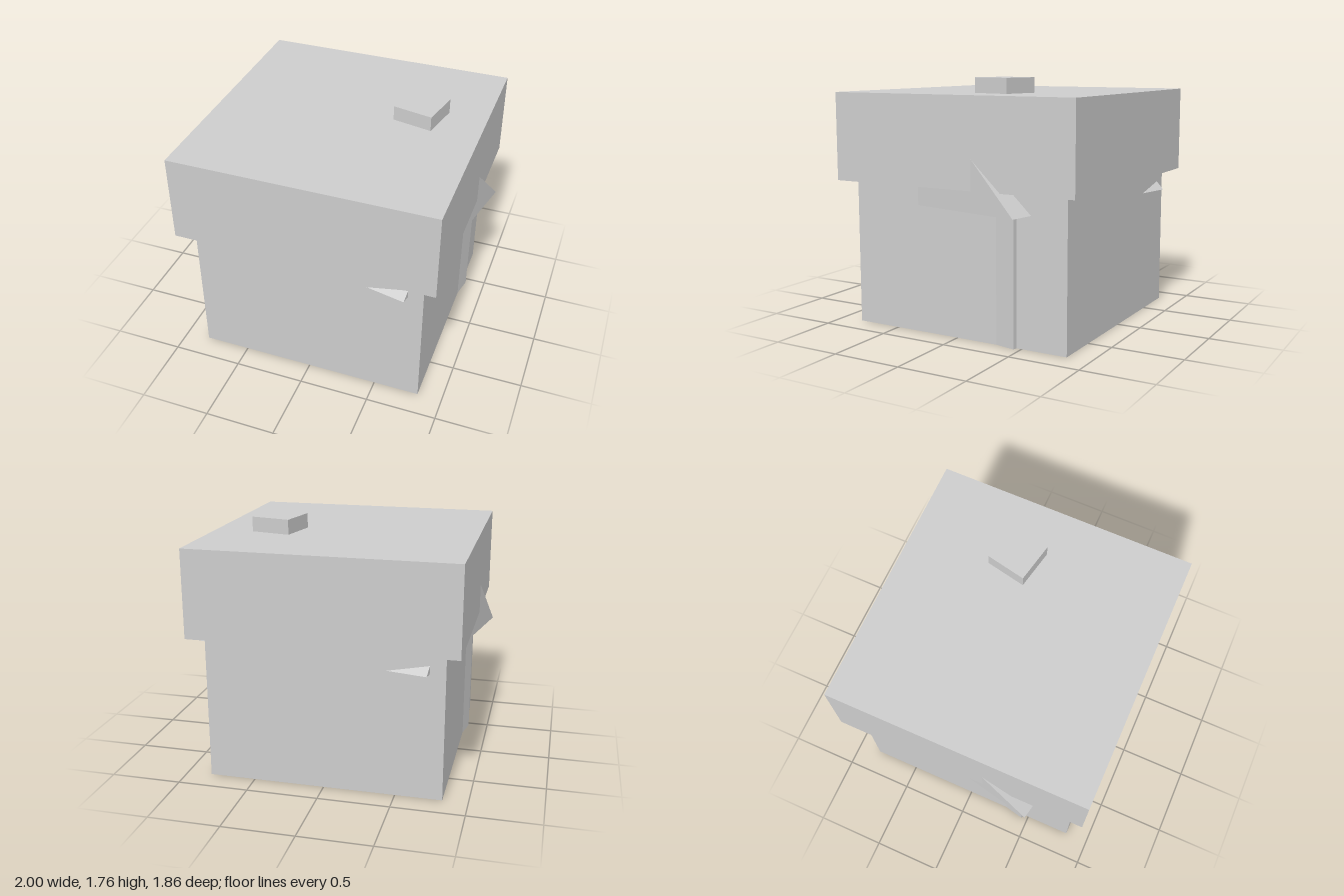
import * as THREE from 'three';

export function createModel() {
  const model = new THREE.Group();
  const grey = new THREE.MeshStandardMaterial({ color: 0xcccccc });
  grey.name = 'light grey';

  function addBox(parent, name, w, d, y0, y1, x = 0, z = 0) {
    const mesh = new THREE.Mesh(new THREE.BoxGeometry(w, y1 - y0, d), grey);
    mesh.name = name;
    mesh.position.set(x, (y0 + y1) / 2, z);
    parent.add(mesh);
  }

  // Square outer block with its overhanging lid
  addBox(model, 'outerWalls', 1.65, 1.66, 0, 1.036);
  addBox(model, 'outerRoof', 1.854, 1.856, 1.036, 1.655);

  // Gabled house, turned inside the outer block so its corners poke out
  const house = new THREE.Group();
  house.name = 'turnedHouse';
  house.rotation.y = -0.205;
  model.add(house);
  addBox(house, 'innerWalls', 1.49, 1.24, 0, 0.893);
  addBox(house, 'chimney', 0.287, 0.287, 1.0, 1.76, 0.434, -0.27);

  // Gable roof: triangle in z and y, extruded along the ridge
  const gable = new THREE.Shape([
    new THREE.Vector2(-0.725, 0.893),
    new THREE.Vector2(0.725, 0.893),
    new THREE.Vector2(0, 1.6),
  ]);
  const roofGeometry = new THREE.ExtrudeGeometry(gable, { depth: 1.742, bevelEnabled: false });
  roofGeometry.translate(0, 0, -0.871);
  roofGeometry.rotateY(Math.PI / 2);
  const roof = new THREE.Mesh(roofGeometry, grey);
  roof.name = 'gableRoof';
  house.add(roof);

  return model;
}
